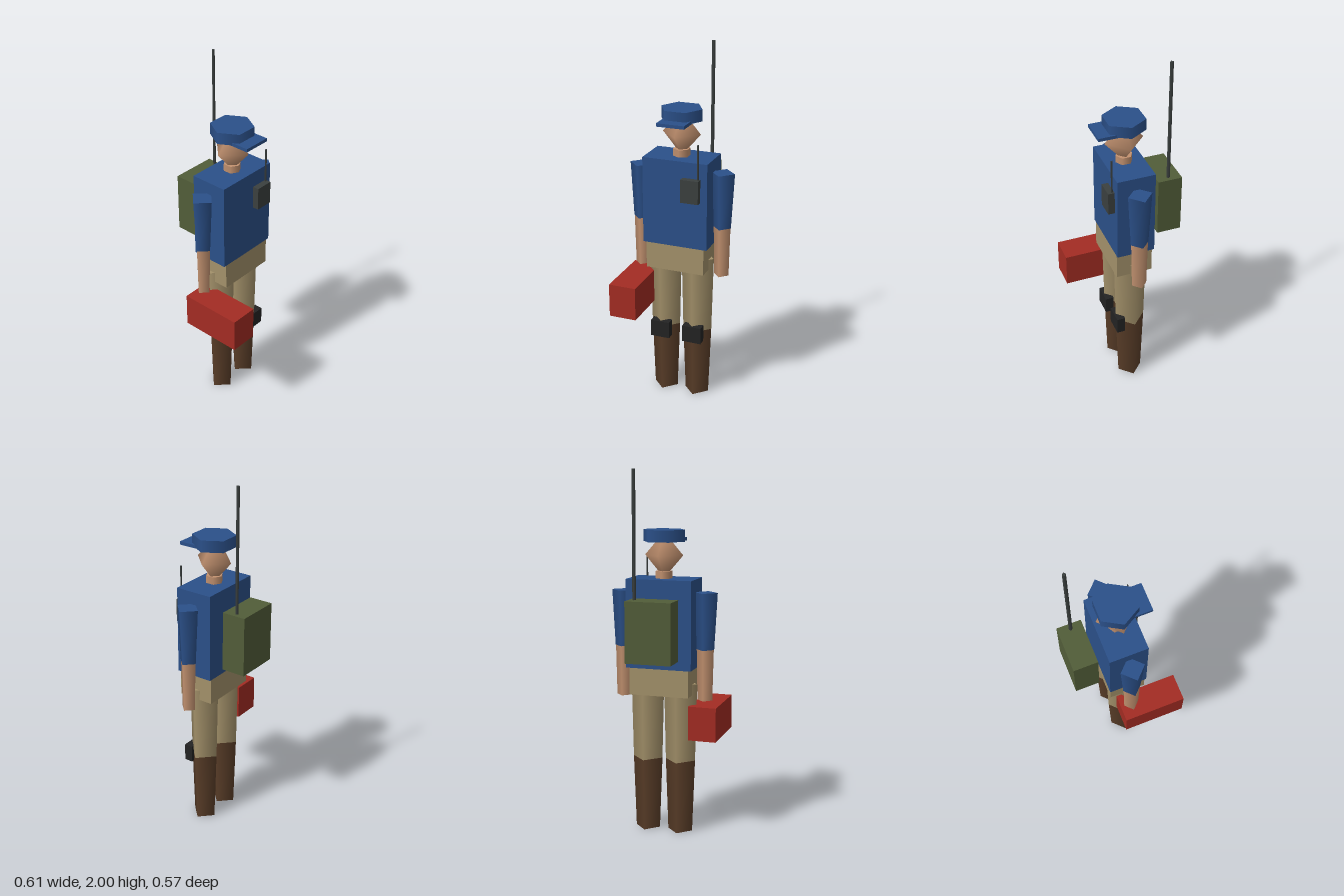
import * as THREE from 'three';

const paint = (name, color) => {
  const m = new THREE.MeshStandardMaterial({ color });
  m.name = name;
  return m;
};

export function createModel() {
  const blue = paint('blue cloth', 0x2b5089);
  const khaki = paint('khaki cloth', 0xa3916a);
  const skin = paint('skin', 0xc39270);
  const brown = paint('brown leather', 0x593d28);
  const black = paint('black pad', 0x232323);
  const grey = paint('dark grey', 0x3b403f);
  const green = paint('olive canvas', 0x525d39);
  const red = paint('red metal', 0xa32c23);

  const model = new THREE.Group();
  model.name = 'fieldWorker';
  const cx = 0.004, cz = -0.006; // body axis

  const add = (name, geometry, material, x, y, z) => {
    const mesh = new THREE.Mesh(geometry, material);
    mesh.name = name;
    mesh.position.set(x, y, z);
    model.add(mesh);
    return mesh;
  };
  // Box given by its lower and upper limits on each axis
  const box = (name, material, [x0, x1], [y0, y1], [z0, z1]) =>
    add(name, new THREE.BoxGeometry(x1 - x0, y1 - y0, z1 - z0), material,
      (x0 + x1) / 2, (y0 + y1) / 2, (z0 + z1) / 2);
  // Upright tapered prism between two heights
  const post = (name, material, x, z, y0, y1, r0, r1, sides = 4) =>
    add(name, new THREE.CylinderGeometry(r1, r0, y1 - y0, sides), material, x, (y0 + y1) / 2, z);

  // Trunk
  box('torso', blue, [-0.18, 0.188], [0.935, 1.42], [-0.112, 0.1]);
  box('hips', khaki, [-0.163, 0.17], [0.785, 0.935], [-0.106, 0.098]);

  // Limbs, mirrored about the body axis
  for (const [side, s] of [['left', 1], ['right', -1]]) {
    const leg = cx + s * 0.095, arm = cx + s * 0.234;
    post(side + 'Boot', brown, leg, cz, 0, 0.41, 0.07, 0.085);
    post(side + 'TrouserLeg', khaki, leg, cz, 0.41, 0.845, 0.085, 0.095);
    box(side + 'KneePad', black, [leg - 0.055, leg + 0.055], [0.353, 0.45], [0.042, 0.09]);
    post(side + 'Sleeve', blue, arm, cz, 1.04, 1.35, 0.05, 0.067);
    post(side + 'Forearm', skin, arm, cz, 0.76, 1.04, 0.042, 0.048);
  }

  // Neck and faceted head
  post('neck', skin, cx, cz, 1.41, 1.46, 0.047, 0.047, 6);
  add('head', new THREE.SphereGeometry(0.108, 4, 2), skin, cx, 1.545, cz).scale.y = 1.15;

  // Cap with visor
  post('capCrown', blue, cx, cz, 1.618, 1.682, 0.116, 0.116, 6).rotation.y = Math.PI / 2;
  box('capVisor', blue, [-0.073, 0.082], [1.614, 1.632], [0.03, 0.16]);

  // Backpack with tall aerial
  box('backpack', green, [-0.122, 0.13], [0.993, 1.323], [-0.288, -0.153]);
  post('backpackAerial', grey, 0.1, -0.22, 1.3, 2, 0.01, 0.01);

  // Chest radio
  box('chestRadio', grey, [0.05, 0.15], [1.205, 1.333], [0.095, 0.136]);
  post('radioAerial', grey, 0.14, 0.111, 1.32, 1.525, 0.006, 0.006, 3).rotation.y = Math.PI / 2;

  // Tool box at the right hand
  box('toolBox', red, [-0.308, -0.153], [0.54, 0.73], [-0.065, 0.285]);

  return model;
}
